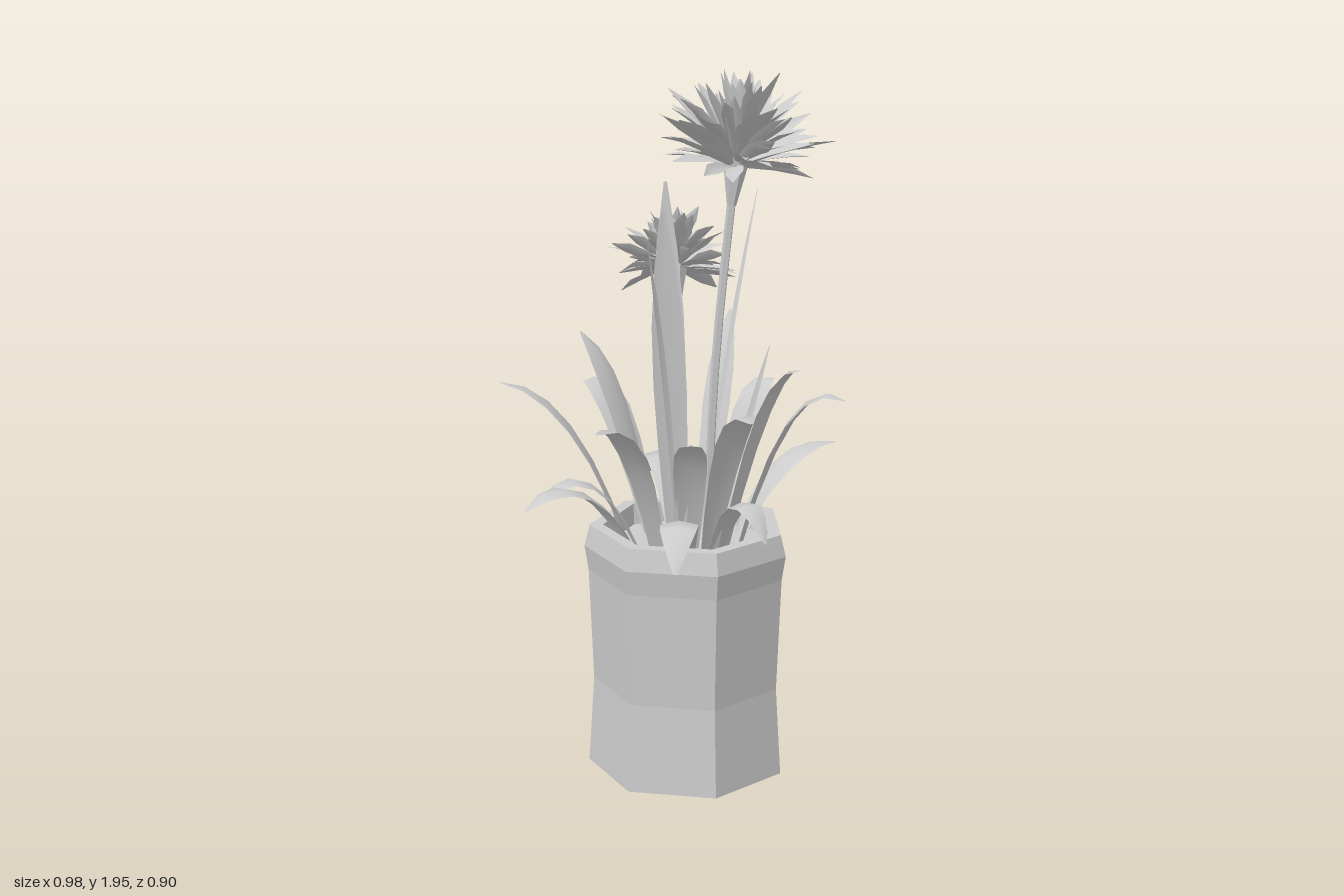
import * as THREE from 'three';
import { mergeGeometries } from 'three/addons/utils/BufferGeometryUtils.js';

const V = (x, y, z) => new THREE.Vector3(x, y, z);
const CX = 0.015, CZ = 0.04; // pot centre
const grey = new THREE.MeshStandardMaterial({ color: 0xcccccc, flatShading: true });
const thin = new THREE.MeshStandardMaterial({ color: 0xcccccc, side: THREE.DoubleSide });

function seeded(seed) {
  return () => {
    seed = (seed * 16807) % 2147483647;
    return seed / 2147483647;
  };
}

// Folded strip along a curve: two edges and a sunken midrib
function blade(curve, side, width, profile, fold) {
  const pos = [], idx = [], n = profile.length - 1;
  for (let i = 0; i <= n; i++) {
    const p = curve.getPoint(i / n);
    const normal = curve.getTangent(i / n).cross(side).normalize();
    const w = width * profile[i] / 2;
    for (const s of [-1, 0, 1]) {
      const q = p.clone().addScaledVector(side, s * w);
      if (s === 0) q.addScaledVector(normal, w * fold);
      pos.push(q.x, q.y, q.z);
    }
    if (i < n) {
      for (const c of [0, 1]) {
        const a = i * 3 + c;
        idx.push(a, a + 1, a + 3, a + 1, a + 4, a + 3);
      }
    }
  }
  const g = new THREE.BufferGeometry();
  g.setAttribute('position', new THREE.Float32BufferAttribute(pos, 3));
  g.setIndex(idx);
  g.computeVertexNormals();
  return g;
}

// Leaf from the soil to a tip; bend = how far out and how high the arch reaches
function leaf([x, y, z, width, bendOut, bendY, root = 0.32, yaw = 0]) {
  const dx = x - CX, dz = z - CZ;
  const at = (f, h) => V(CX + dx * f, h, CZ + dz * f);
  const curve = new THREE.QuadraticBezierCurve3(at(root, 0.62), at(bendOut, bendY), V(x, y, z));
  const side = V(dz, 0, -dx).normalize().applyAxisAngle(V(0, 1, 0), yaw);
  return blade(curve, side, width, [0.5, 0.72, 0.9, 1, 0.95, 0.65, 0.1], 0.2);
}

const LOW = [
  [-0.49, 0.82, 0.11, 0.10, 0.66, 0.95], [-0.41, 0.80, 0.00, 0.08, 0.66, 0.96],
  [-0.21, 0.71, 0.44, 0.10, 0.7, 0.93], [0.07, 0.74, 0.40, 0.08, 0.7, 0.95],
  [0.49, 0.87, 0.01, 0.09, 0.6, 0.90], [0.10, 0.72, -0.40, 0.09, 0.7, 0.93],
];
const ARCHED = [
  [-0.45, 1.10, -0.18, 0.08, 0.6, 1.08], [-0.39, 1.08, 0.36, 0.08, 0.6, 1.10],
  [0.01, 1.08, 0.43, 0.09, 0.72, 1.15], [0.20, 1.18, 0.34, 0.08, 0.7, 1.2],
  [0.32, 1.09, 0.36, 0.08, 0.65, 1.17], [0.34, 1.05, -0.09, 0.10, 0.7, 1.1],
  [0.25, 1.24, -0.18, 0.08, 0.65, 1.05], [-0.12, 1.02, -0.38, 0.11, 0.72, 1.12],
  [-0.18, 1.20, -0.25, 0.09, 0.65, 1.1], [-0.10, 1.0, 0.3, 0.09, 0.7, 1.0],
  [0.22, 1.2, 0.12, 0.09, 0.75, 1.0],
];
const UPRIGHT = [
  [-0.08, 1.66, 0.10, 0.10, 0.85, 1.15, 0.5], [-0.15, 1.61, 0.24, 0.09, 0.8, 1.15, 0.4],
  [0.00, 1.46, -0.12, 0.11, 0.6, 1.1, 0.25, 1.0],
];
const SPIKES = [
  [-0.26, 1.55, 0.39, 0.016, 0.5, 1.15, 0.25], [0.26, 1.60, -0.04, 0.018, 0.5, 1.15, 0.2],
];

// Shaggy bloom around +y: golden-angle petals, steeper towards the middle
function bloom(count, length, spread, seed) {
  const rand = seeded(seed), parts = [];
  for (let i = 0; i < count; i++) {
    const t = i / (count - 1);
    const a = i * 2.39996 + (rand() - 0.5) * 0.5;
    const elev = THREE.MathUtils.lerp(spread, 1.35, t) + (rand() - 0.5) * 0.45;
    const len = length * (0.75 + rand() * 0.45) * (1 - 0.15 * t);
    const out = V(Math.cos(a), 0, Math.sin(a));
    const dir = out.clone().multiplyScalar(Math.cos(elev)).setY(Math.sin(elev));
    const root = out.clone().multiplyScalar(0.035 * (1 - t)).setY(0.05 * t);
    const mid = root.clone().addScaledVector(dir, len * 0.6).add(V(0, 0.012, 0));
    const tip = root.clone().addScaledVector(dir, len)
      .addScaledVector(out, 0.02 * rand()).add(V(0, -0.025 * rand(), 0));
    const side = V(-out.z, 0, out.x).applyAxisAngle(dir, (rand() - 0.5) * 1.4);
    const curve = new THREE.QuadraticBezierCurve3(root, mid, tip);
    parts.push(blade(curve, side, 0.034 + rand() * 0.014, [0.35, 0.9, 1, 0.08], 0.3));
  }
  return mergeGeometries(parts);
}

function flower(name, path, count, length, spread, seed) {
  const g = new THREE.Group();
  g.name = name;
  const curve = new THREE.CatmullRomCurve3(path.map(p => V(...p)));
  const stem = new THREE.Mesh(new THREE.TubeGeometry(curve, 8, 0.012, 5), grey);
  stem.name = 'stem';
  // Head follows the direction of the stem end
  const head = new THREE.Group();
  head.name = 'flowerHead';
  head.position.copy(curve.getPoint(1));
  head.quaternion.setFromUnitVectors(V(0, 1, 0), curve.getTangent(1));
  const calyx = new THREE.Mesh(new THREE.CylinderGeometry(0.035, 0.012, 0.12, 6), grey);
  calyx.name = 'calyx';
  calyx.position.y = -0.045;
  const petals = new THREE.Mesh(bloom(count, length, spread, seed), thin);
  petals.name = 'petals';
  head.add(calyx, petals);
  g.add(stem, head);
  return g;
}

export function createModel() {
  const model = new THREE.Group();
  model.name = 'pottedFlowers';

  // Seven-sided pot with a waist, flared rim and inner wall
  const profile = [[0, 0], [0.28, 0], [0.264, 0.25], [0.276, 0.57], [0.287, 0.64],
    [0.272, 0.7], [0.235, 0.7], [0.23, 0.62]].map(p => new THREE.Vector2(...p));
  const start = THREE.MathUtils.degToRad(-9.3);
  const pot = new THREE.Mesh(new THREE.LatheGeometry(profile, 7, start), grey);
  pot.name = 'pot';
  pot.position.set(CX, 0, CZ);
  const soil = new THREE.Mesh(new THREE.CylinderGeometry(0.235, 0.235, 0.02, 7, 1, false, start), grey);
  soil.name = 'soil';
  soil.position.set(CX, 0.63, CZ);
  model.add(pot, soil);

  // Foliage
  const sets = { lowLeaves: LOW, archedLeaves: ARCHED, uprightLeaves: UPRIGHT, spikes: SPIKES };
  for (const [name, list] of Object.entries(sets)) {
    const mesh = new THREE.Mesh(mergeGeometries(list.map(leaf)), thin);
    mesh.name = name;
    model.add(mesh);
  }

  // Two flowers, the lower one leaning to the back
  model.add(
    flower('tallFlower', [[0.04, 0.62, 0.1], [0.05, 1.2, 0.14], [0.09, 1.7, 0.165]], 95, 0.215, 0.08, 11),
    flower('lowFlower', [[0.05, 0.62, -0.02], [0.06, 1.0, -0.12], [0.115, 1.35, -0.26]], 75, 0.145, -0.05, 29),
  );
  return model;
}
